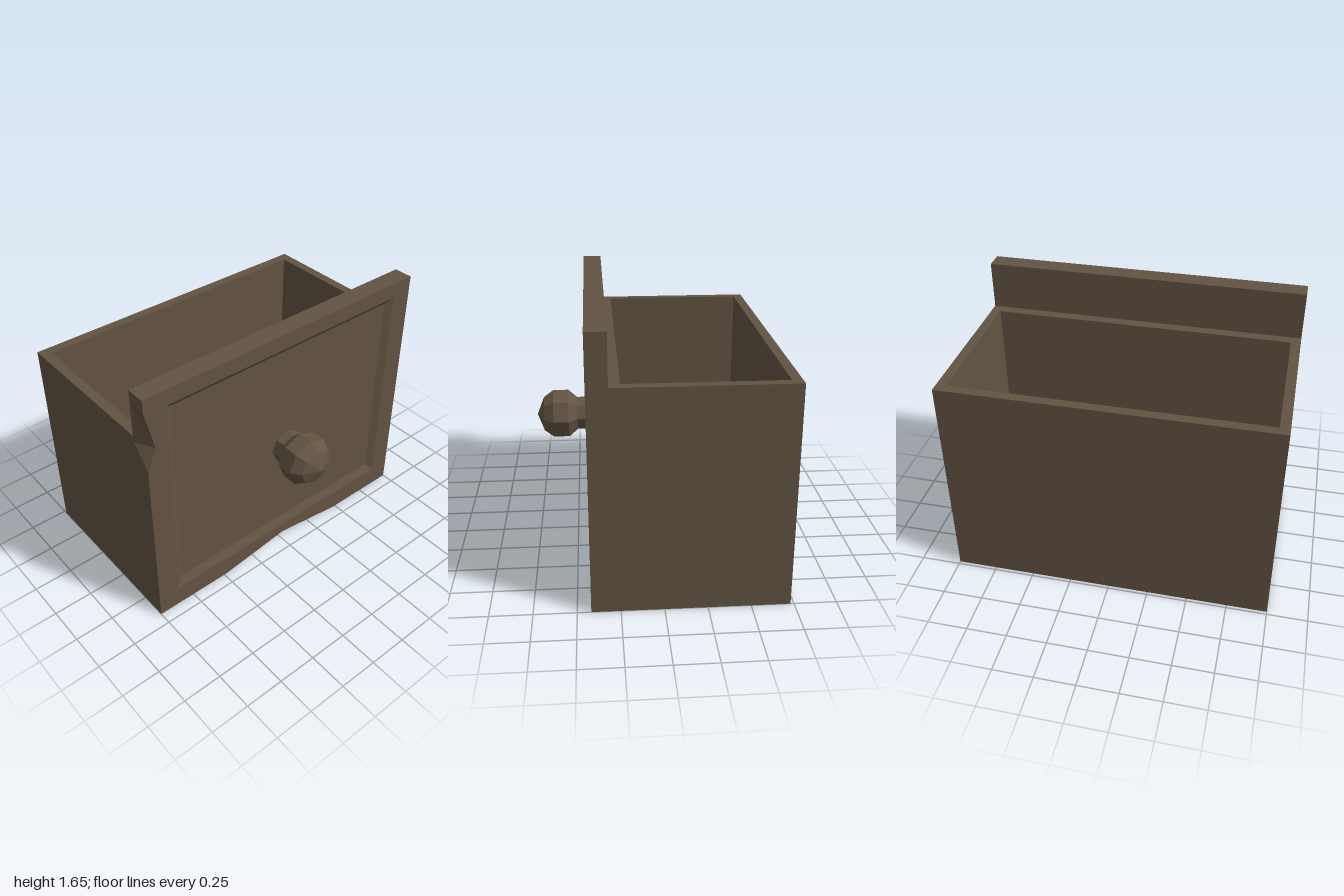
import * as THREE from 'three';

const wood = new THREE.MeshStandardMaterial({ color: 0x635443, flatShading: true });
wood.name = 'brownWood';

// Skins a list of equal-length closed loops, counter-clockwise seen from +z
function skinLoops(loops) {
  const pos = [];
  for (let k = 0; k < loops.length - 1; k++) {
    const a = loops[k], b = loops[k + 1], n = a.length;
    for (let i = 0; i < n; i++) {
      const j = (i + 1) % n;
      pos.push(...a[i], ...a[j], ...b[j], ...a[i], ...b[j], ...b[i]);
    }
  }
  const g = new THREE.BufferGeometry();
  g.setAttribute('position', new THREE.Float32BufferAttribute(pos, 3));
  g.computeVertexNormals();
  return g;
}

function rectPath(Type, x, z0, z1) {
  return new Type([[-x, -z1], [x, -z1], [x, -z0], [-x, -z0]].map(p => new THREE.Vector2(...p)));
}

export function createModel() {
  const group = new THREE.Group();
  group.name = 'drawer';
  const add = (name, geometry) => {
    const mesh = new THREE.Mesh(geometry, wood);
    mesh.name = name;
    group.add(mesh);
    return mesh;
  };

  // Front panel: recessed field, with chips knocked out of the front edges
  const H = 1.65;
  const outline = [[-1, 0], [-0.48, 0], [0, 0], [0.48, 0], [1, 0],
    [1, H], [-1, H], [-1, 1.57], [-1, 1.31], [-1, 1.17]];
  const chipped = outline.map(p => [...p]);
  chipped[2] = [0, 0.07];
  chipped[8] = [-0.94, 1.31];
  const at = (pts, z) => pts.map(([x, y]) => [x, y, z]);
  const inset = (w, y0, y1, z) => outline.map(([x, y]) => [x * w, y0 + (y / H) * (y1 - y0), z]);
  add('frontPanel', skinLoops([
    inset(0, 0.83, 0.83, 0.30),
    at(outline, 0.30),
    at(chipped, 0.42),
    inset(0.86, 0.14, 1.55, 0.42),
    inset(0.81, 0.20, 1.515, 0.395),
    inset(0, 0.83, 0.83, 0.395),
  ]));

  // Four walls of the open box
  const walls = rectPath(THREE.Shape, 1, -0.73, 0.30);
  walls.holes.push(rectPath(THREE.Path, 0.94, -0.67, 0.235));
  const wallGeometry = new THREE.ExtrudeGeometry(walls, { depth: 1.35, bevelEnabled: false });
  wallGeometry.rotateX(-Math.PI / 2);
  add('boxWalls', wallGeometry);

  // Box floor
  add('boxFloor', new THREE.BoxGeometry(1.88, 0.06, 0.905)).position.set(0, 0.03, -0.2175);

  // Faceted knob with its short stem
  const profile = [[0.11, 0.42], [0.11, 0.48], [0.16, 0.535], [0.16, 0.63], [0.115, 0.69], [0, 0.735]]
    .map(p => new THREE.Vector2(...p));
  const knobGeometry = new THREE.LatheGeometry(profile, 8);
  knobGeometry.rotateX(Math.PI / 2);
  add('knob', knobGeometry).position.y = 0.83;

  return group;
}
